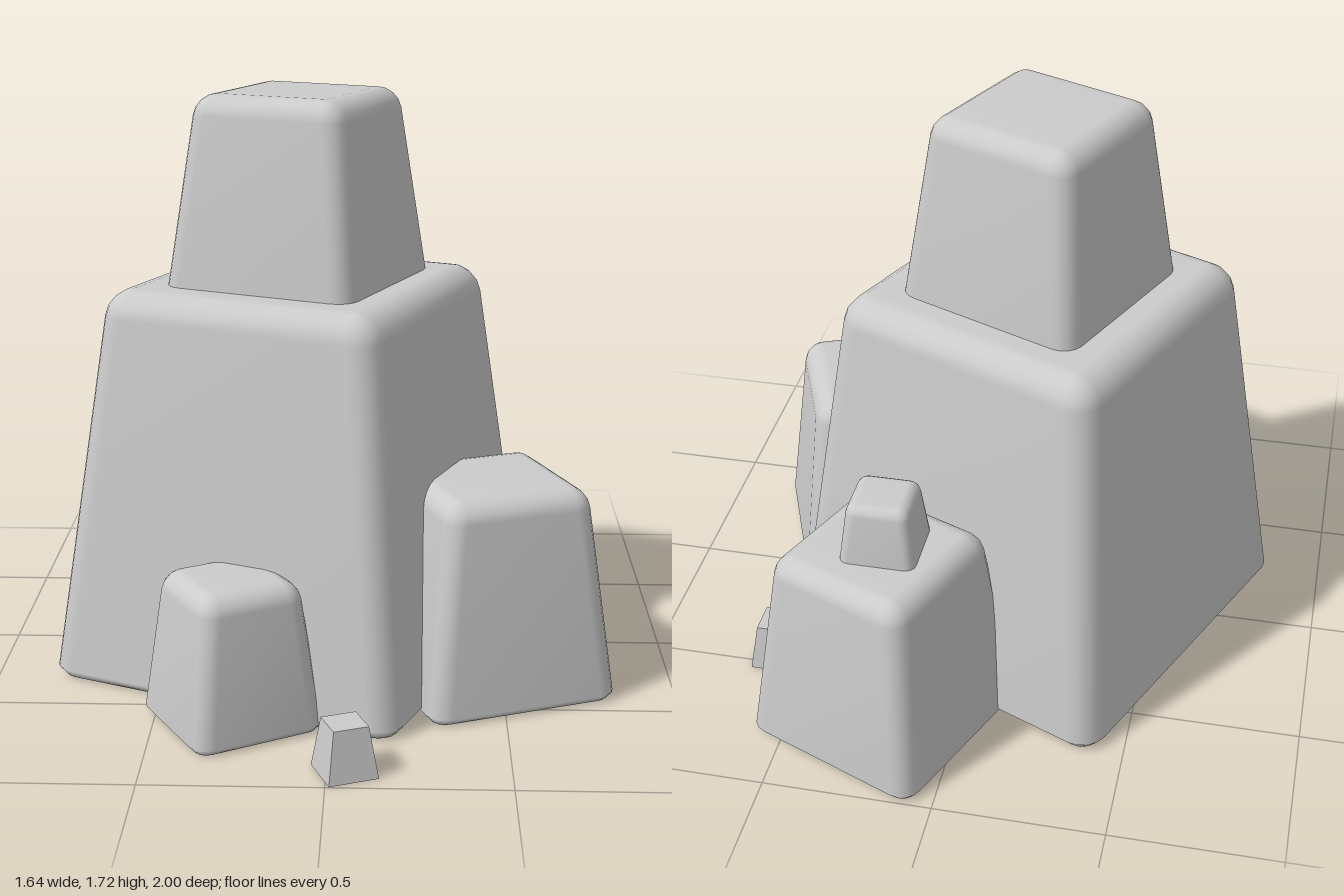
import * as THREE from 'three';
import { mergeVertices } from 'three/addons/utils/BufferGeometryUtils.js';

const TAPER = 0.76;
const STEPS = 4; // segments per rounded edge

// Square block narrowing upwards, with rounded edges and a small chamfer at the foot
function roundedBlock(size, height, r) {
  const chamfer = r * 0.35;
  const levels = [[0, chamfer], [chamfer, 0]]; // [y, inset]
  for (let k = 0; k <= STEPS; k++) {
    const a = (k / STEPS) * Math.PI / 2;
    levels.push([height - r + r * Math.sin(a), r * (1 - Math.cos(a))]);
  }
  const pos = [], index = [];
  const n = 4 * (STEPS + 1);
  for (const [y, inset] of levels) {
    const half = (size / 2) * (1 - (1 - TAPER) * y / height) - inset;
    const corner = Math.max(r - inset, 0);
    for (let q = 0; q < 4; q++) {
      const mid = Math.PI / 4 + q * Math.PI / 2;
      const cx = Math.sign(Math.cos(mid)) * (half - corner);
      const cz = Math.sign(Math.sin(mid)) * (half - corner);
      for (let s = 0; s <= STEPS; s++) {
        const a = (q + s / STEPS) * Math.PI / 2;
        pos.push(cx + corner * Math.cos(a), y, cz + corner * Math.sin(a));
      }
    }
  }
  const last = (levels.length - 1) * n;
  const bottom = levels.length * n, top = bottom + 1;
  pos.push(0, 0, 0, 0, height, 0);
  for (let j = 0; j < n; j++) {
    const j2 = (j + 1) % n;
    for (let i = 0; i < last; i += n) {
      index.push(i + j, i + n + j, i + j2, i + j2, i + n + j, i + n + j2);
    }
    index.push(bottom, j, j2, top, last + j2, last + j);
  }
  let geo = new THREE.BufferGeometry();
  geo.setAttribute('position', new THREE.Float32BufferAttribute(pos, 3));
  geo.setIndex(index);
  geo = mergeVertices(geo, 1e-5);
  geo.computeVertexNormals();
  return geo;
}

export function createModel() {
  const group = new THREE.Group();
  const smooth = new THREE.MeshStandardMaterial({ color: 0xcccccc });
  const faceted = new THREE.MeshStandardMaterial({ color: 0xcccccc, flatShading: true });

  const add = (name, geo, mat, x, y, z, degrees) => {
    const mesh = new THREE.Mesh(geo, mat);
    mesh.name = name;
    mesh.position.set(x, y, z);
    mesh.rotation.y = THREE.MathUtils.degToRad(degrees);
    group.add(mesh);
  };

  // Rounded rocks: name, size, height, edge radius, x, y, z, turn
  const rocks = [
    ['mainRock', 1.126, 1.165, 0.08, -0.115, 0, 0.015, -23.3],
    ['upperRock', 0.615, 0.615, 0.06, -0.11, 1.1, 0.02, -23.3],
    ['leftRock', 0.59, 0.63, 0.06, 0.455, 0, 0.265, 21.8],
    ['backRock', 0.59, 0.63, 0.06, 0.225, 0, -0.635, -22.3],
    ['backRockCap', 0.232, 0.23, 0.03, 0.21, 0.58, -0.625, 0],
    ['frontRock', 0.405, 0.435, 0.055, -0.277, 0, 0.585, 30],
  ];
  for (const [name, size, height, r, x, y, z, turn] of rocks) {
    add(name, roundedBlock(size, height, r), smooth, x, y, z, turn);
  }

  // Sharp-edged loose stones
  const stone = new THREE.CylinderGeometry(0.1 / Math.SQRT2, 0.142 / Math.SQRT2, 0.145, 4);
  stone.rotateY(Math.PI / 4);
  stone.translate(0, 0.0725, 0);
  add('frontStone', stone, faceted, 0.05, 0, 0.905, 22);
  add('backStone', stone, faceted, 0.61, 0, -0.463, 0);

  return group;
}
